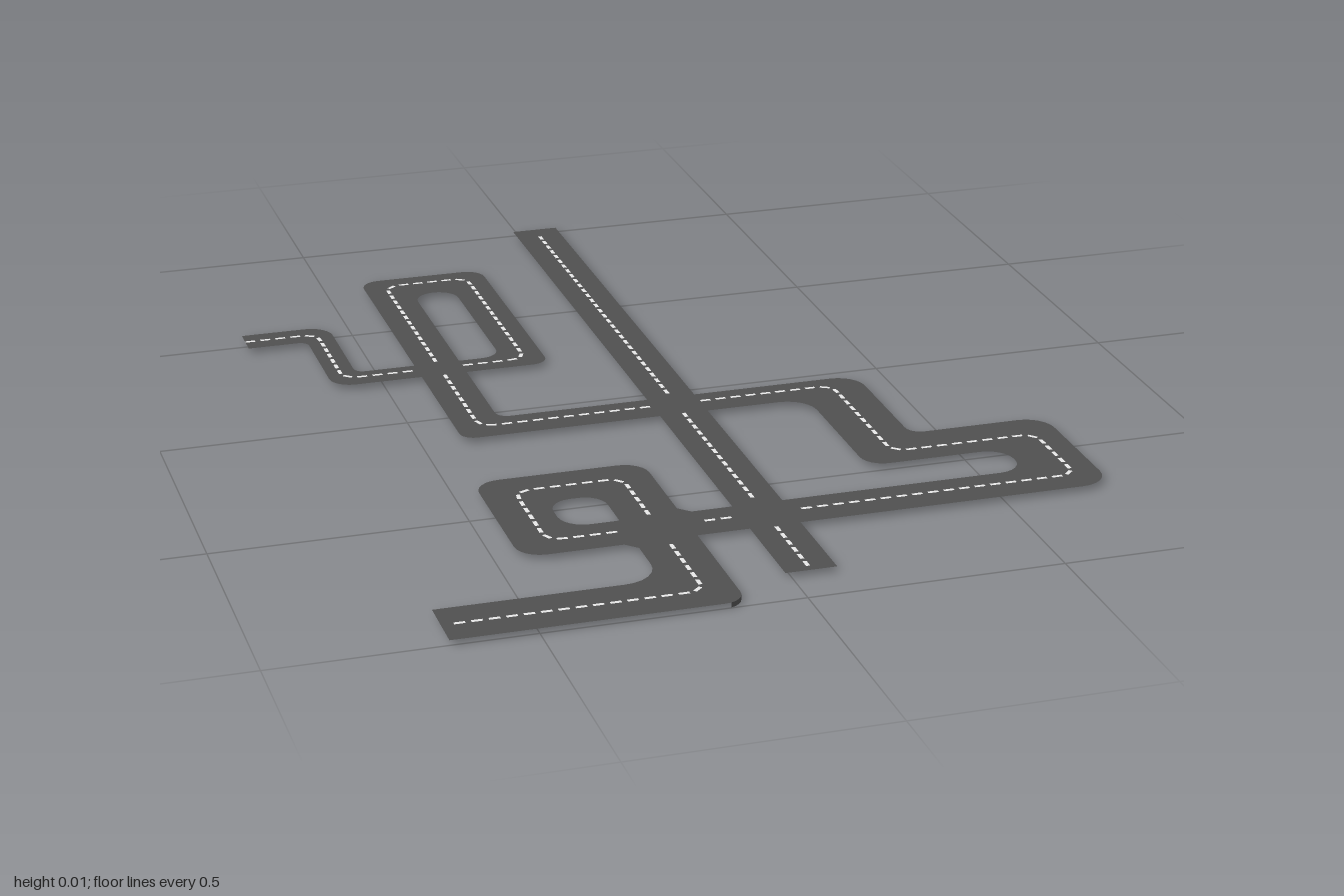
import * as THREE from 'three';

const TOP = 0.01;          // height of the road surface
const PAINT = TOP + 0.0015; // height of the lane markings

// Winding road: [left edge, right edge, centre line] of each straight, in travel order.
// Straights alternate between running along x (values are z) and along z (values are x).
const START = -0.73, END = -0.664;
const straights = [
  [-0.54, -0.465, -0.5], [-0.545, -0.605, -0.577], [-0.27, -0.205, -0.24],
  [-0.235, -0.148, -0.19], [-0.675, -0.78, -0.737], [-0.325, -0.42, -0.373],
  [0.048, 0.137, 0.087], [0.437, 0.3, 0.37], [0.365, 0.493, 0.443],
  [0.722, 0.585, 0.67], [0.706, 0.6, 0.65], [-0.455, -0.342, -0.39],
  [0.35, 0.477, 0.415], [-0.115, -0.235, -0.175], [1.0, 0.872, 0.94],
];
// Corner radii on the [left, right] edge
const radii = [
  [0.05, 0.02], [0.02, 0.045], [0.04, 0.035], [0.045, 0.04], [0.045, 0.04],
  [0.025, 0.03], [0.055, 0.06], [0.03, 0.045], [0.055, 0.05], [0.06, 0.05],
  [0.05, 0.05], [0.05, 0.045], [0.05, 0.045], [0.04, 0.07],
];
// Main road and the crossings [x0, x1, z0, z1] where markings stop
const MAIN = { x0: -0.012, x1: 0.088, z0: -1, z1: 0.91, mid: 0.037 };
const crossings = [
  [MAIN.x0, MAIN.x1, 0.048, 0.137], [MAIN.x0, MAIN.x1, 0.6, 0.706],
  [-0.42, -0.325, -0.27, -0.205], [-0.235, -0.115, 0.6, 0.706],
];

// Corner points of one edge (side 0 left, 1 right, 2 centre), ends included
function edgeCorners(side) {
  const pts = [new THREE.Vector2(START, straights[0][side])];
  for (let i = 0; i < straights.length - 1; i++) {
    const a = straights[i][side], b = straights[i + 1][side];
    pts.push(i % 2 ? new THREE.Vector2(a, b) : new THREE.Vector2(b, a));
  }
  pts.push(new THREE.Vector2(END, straights[straights.length - 1][side]));
  return pts;
}

// Replace every corner with a quarter arc of steps + 1 points
function roundCorners(pts, radiusAt, steps = 6) {
  const out = [pts[0]];
  for (let i = 1; i < pts.length - 1; i++) {
    const r = radiusAt(i - 1);
    const inDir = pts[i].clone().sub(pts[i - 1]).normalize();
    const outDir = pts[i + 1].clone().sub(pts[i]).normalize();
    const centre = pts[i].clone().addScaledVector(inDir, -r).addScaledVector(outDir, r);
    for (let k = 0; k <= steps; k++) {
      const t = (k / steps) * Math.PI / 2;
      out.push(centre.clone()
        .addScaledVector(outDir, -r * Math.cos(t))
        .addScaledVector(inDir, r * Math.sin(t)));
    }
  }
  out.push(pts[pts.length - 1]);
  return out;
}

const lift = (pts, y) => pts.map((p) => new THREE.Vector3(p.x, y, p.y));

// Add a strip of quads between two rows of points
function addStrip(positions, left, right) {
  for (let i = 0; i < left.length - 1; i++) {
    for (const p of [left[i], right[i], left[i + 1], right[i], right[i + 1], left[i + 1]]) {
      positions.push(p.x, p.y, p.z);
    }
  }
}

function makeMesh(name, positions, material) {
  const geometry = new THREE.BufferGeometry();
  geometry.setAttribute('position', new THREE.Float32BufferAttribute(positions, 3));
  geometry.computeVertexNormals();
  const mesh = new THREE.Mesh(geometry, material);
  mesh.name = name;
  return mesh;
}

// Dashes along a path of 2D points, left out inside the crossings
function dashes(points, dash = 0.021, gap = 0.011, width = 0.008) {
  const path = new THREE.Path(points);
  const total = path.getLength();
  const blocked = (p) => crossings.some(([x0, x1, z0, z1]) =>
    p.x > x0 && p.x < x1 && p.y > z0 && p.y < z1);
  const positions = [];
  for (let s = 0; s + dash <= total; s += dash + gap) {
    const a = path.getPoint(s / total), b = path.getPoint((s + dash) / total);
    if (blocked(a) || blocked(b)) continue;
    const d = b.clone().sub(a).normalize();
    const side = new THREE.Vector2(d.y, -d.x).multiplyScalar(width / 2);
    const left = [a.clone().add(side), b.clone().add(side)];
    const right = [a.clone().sub(side), b.clone().sub(side)];
    addStrip(positions, lift(left, PAINT), lift(right, PAINT));
  }
  return positions;
}

export function createModel() {
  const group = new THREE.Group();
  group.name = 'roadNetwork';
  const asphalt = new THREE.MeshStandardMaterial({ color: 0x4f4f4f, side: THREE.DoubleSide });
  asphalt.name = 'asphalt';
  const paint = new THREE.MeshStandardMaterial({ color: 0xe6e6e6 });
  paint.name = 'lanePaint';

  // Winding road surface
  const left = roundCorners(edgeCorners(0), (i) => radii[i][0]);
  const right = roundCorners(edgeCorners(1), (i) => radii[i][1]);
  const winding = [];
  addStrip(winding, lift(left, TOP), lift(right, TOP));
  group.add(makeMesh('windingRoad', winding, asphalt));

  // Small fillets where the lower loop crosses itself
  const fillets = [];
  for (const [x, z, s] of [[-0.115, 0.6, 1], [-0.235, 0.706, -1]]) {
    const r = 0.022 * s;
    fillets.push(x, TOP, z, x + r, TOP, z, x, TOP, z - r);
  }
  group.add(makeMesh('crossingFillets', fillets, asphalt));

  // Straight main road
  const main = [];
  const line = (x, z0, z1) => [new THREE.Vector2(x, z0), new THREE.Vector2(x, z1)];
  addStrip(main, lift(line(MAIN.x1, MAIN.z0, MAIN.z1), TOP), lift(line(MAIN.x0, MAIN.z0, MAIN.z1), TOP));
  group.add(makeMesh('mainRoad', main, asphalt));

  // Kerb wall under the outside of the last bend
  const bend = left.slice(-8, -2);
  const wall = [new THREE.Vector2(bend[0].x, 0.88), ...bend];
  const kerb = [];
  addStrip(kerb, lift(wall, 0), lift(wall, TOP));
  group.add(makeMesh('bendKerb', kerb, asphalt));

  // Lane markings
  const centre = roundCorners(edgeCorners(2), () => 0.03);
  group.add(makeMesh('windingRoadDashes', dashes(centre), paint));
  group.add(makeMesh('mainRoadDashes', dashes(line(MAIN.mid, -0.95, 0.9)), paint));
  return group;
}
